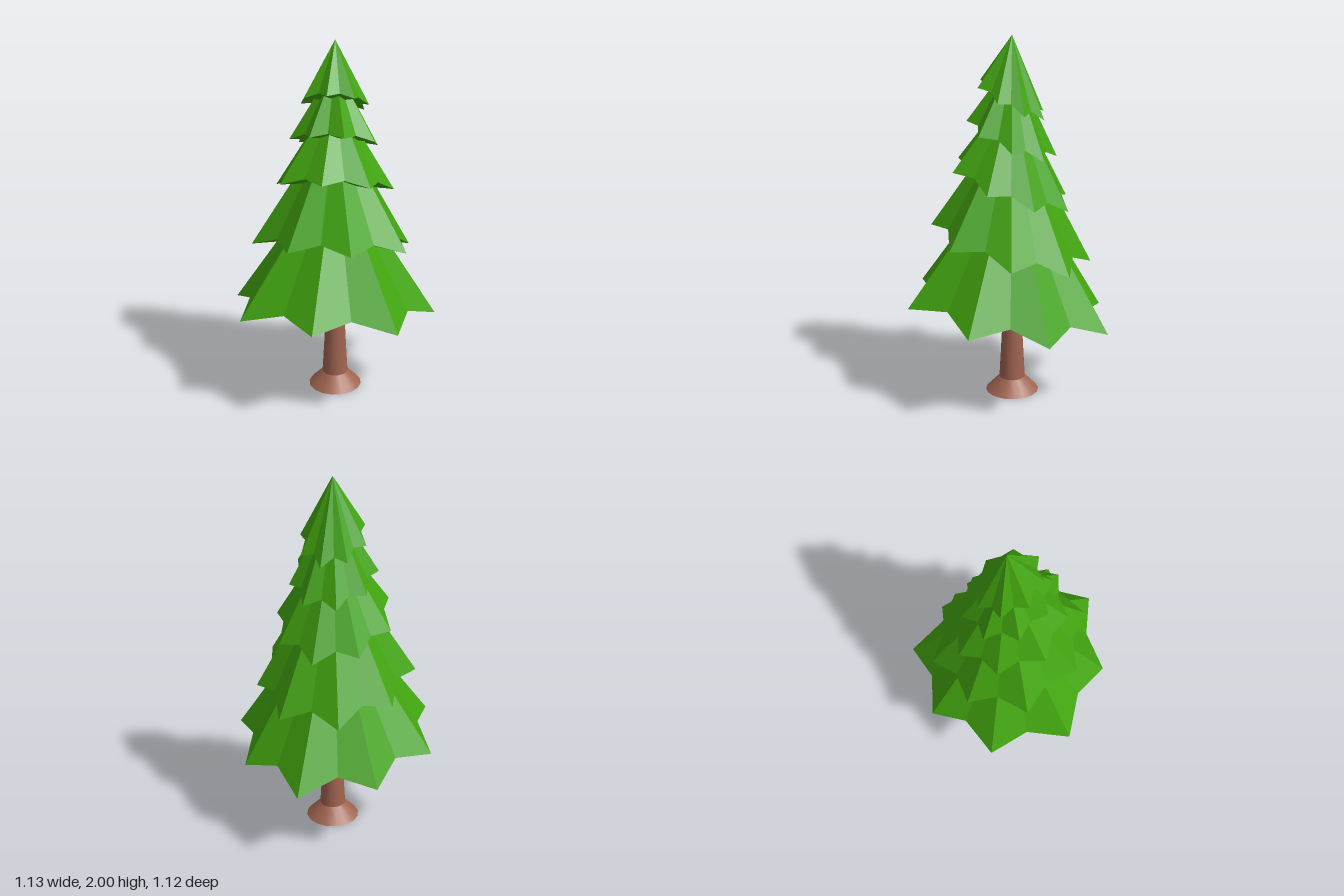
import * as THREE from 'three';

const leafGreen = new THREE.MeshStandardMaterial({ color: 0x42a410, flatShading: true });
const barkBrown = new THREE.MeshStandardMaterial({ color: 0xa06450, side: THREE.DoubleSide });
leafGreen.name = 'leafGreen';
barkBrown.name = 'barkBrown';

// Each tier: apex height, rim height, forward tilt, valley lift, valley ratio,
// underside centre height, angle of the first tip, and the eight tip radii.
const tiers = [
  { apex: 1.34, rim: 0.5, tilt: 0.143, lift: 0.06, valley: 0.815, under: 0.6, start: 5,
    tips: [0.56, 0.6, 0.56, 0.6, 0.57, 0.535, 0.565, 0.53] },
  { apex: 1.6, rim: 0.868, tilt: 0.25, lift: 0.05, valley: 0.82, under: 0.905, start: 27,
    tips: [0.454, 0.44, 0.44, 0.457, 0.419, 0.43, 0.43, 0.416] },
  { apex: 1.72, rim: 1.2, tilt: 0.365, lift: 0.035, valley: 0.83, under: 1.225, start: 5,
    tips: [0.32, 0.336, 0.32, 0.34, 0.325, 0.317, 0.326, 0.315] },
  { apex: 1.87, rim: 1.45, tilt: 0.42, lift: 0.025, valley: 0.79, under: 1.47, start: 26.5,
    tips: [0.246, 0.242, 0.237, 0.245, 0.235, 0.239, 0.241, 0.231] },
  { apex: 2, rim: 1.658, tilt: 0.51, lift: 0.025, valley: 0.79, under: 1.675, start: 6,
    tips: [0.181, 0.191, 0.186, 0.188, 0.186, 0.178, 0.186, 0.181] },
];

// Star-shaped cone with a tilted zigzag rim and a shallow hollow underside
function tierGeometry({ apex, rim, tilt, lift, valley, under, start, tips }) {
  const points = [0, apex, 0, 0, under, 0];
  const index = [];
  for (let i = 0; i < 16; i++) {
    const tip = i >> 1;
    const inner = i % 2 === 1;
    const r = inner ? valley * (tips[tip] + tips[(tip + 1) % 8]) / 2 : tips[tip];
    const a = THREE.MathUtils.degToRad(start + i * 22.5);
    const z = r * Math.sin(a);
    points.push(r * Math.cos(a), rim + tilt * z + (inner ? lift : 0), z);
    const here = 2 + i, next = 2 + (i + 1) % 16;
    index.push(0, next, here, 1, here, next);
  }
  const indexed = new THREE.BufferGeometry();
  indexed.setAttribute('position', new THREE.Float32BufferAttribute(points, 3));
  indexed.setIndex(index);
  const flat = indexed.toNonIndexed();
  flat.computeVertexNormals();
  return flat;
}

function lathe(name, profile) {
  const points = profile.map(([r, y]) => new THREE.Vector2(r, y));
  const mesh = new THREE.Mesh(new THREE.LatheGeometry(points, 16), barkBrown);
  mesh.name = name;
  return mesh;
}

export function createModel() {
  const tree = new THREE.Group();
  tree.name = 'pineTree';

  // Trunk with a flared, open foot
  tree.add(lathe('trunkFoot', [[0.148, 0], [0.072, 0.08]]));
  tree.add(lathe('trunk', [[0.072, 0.08], [0.064, 0.22], [0.056, 0.38], [0.053, 0.5], [0.053, 0.64]]));

  // Foliage from the widest tier to the top
  const foliage = new THREE.Group();
  foliage.name = 'foliage';
  tiers.forEach((tier, i) => {
    const mesh = new THREE.Mesh(tierGeometry(tier), leafGreen);
    mesh.name = `foliageTier${i + 1}`;
    foliage.add(mesh);
  });
  tree.add(foliage);
  return tree;
}
